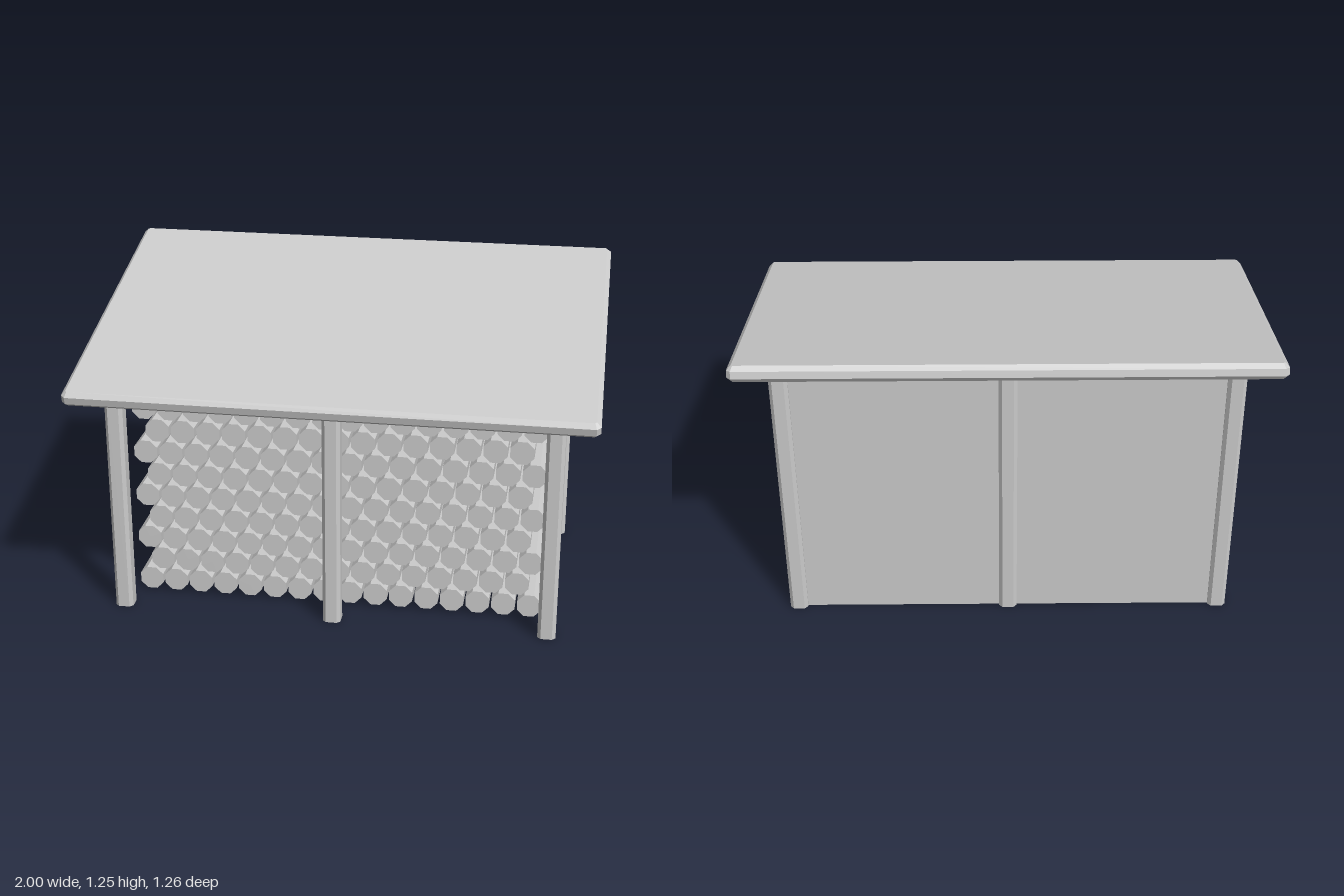
import * as THREE from 'three';

const material = new THREE.MeshStandardMaterial({ color: 0xcccccc, flatShading: true });
const SLOPE = Math.atan(0.24);
const ROOF_Y = 1.073; // roof mid-plane height at z = 0
const roofAt = (z) => ROOF_Y - 0.24 * z;

// Rectangle with cut corners
function chamferedRect(w, d, c) {
  const x = w / 2, y = d / 2;
  return new THREE.Shape([
    [x - c, -y], [x, -y + c], [x, y - c], [x - c, y],
    [-x + c, y], [-x, y - c], [-x, -y + c], [-x + c, -y],
  ].map(([a, b]) => new THREE.Vector2(a, b)));
}

function addMesh(parent, name, geometry, x = 0, y = 0, z = 0) {
  const mesh = new THREE.Mesh(geometry, material);
  mesh.name = name;
  mesh.position.set(x, y, z);
  parent.add(mesh);
  return mesh;
}

export function createModel() {
  const model = new THREE.Group();
  model.name = 'firewoodShelter';

  // Sloping roof slab with bevelled edges
  const t = 0.062, c = 0.017;
  const slab = new THREE.ExtrudeGeometry(chamferedRect(2 - 2 * c, 1.284 - 2 * c, 0.006), {
    depth: t - 2 * c, bevelEnabled: true, bevelThickness: c, bevelSize: c, bevelSegments: 1,
  });
  slab.translate(0, 0, -t / 2 + c).rotateX(-Math.PI / 2);
  addMesh(model, 'roof', slab, 0, ROOF_Y, 0).rotation.x = SLOPE;

  // Three posts at the front and three taller ones at the back
  for (const [name, z] of [['frontPost', 0.465], ['backPost', -0.465]]) {
    const post = new THREE.ExtrudeGeometry(chamferedRect(0.07, 0.07, 0.013), {
      depth: roofAt(z), bevelEnabled: false,
    }).rotateX(-Math.PI / 2);
    for (const x of [-0.84, 0, 0.84]) addMesh(model, name, post, x, 0, z);
  }

  // Back wall panels between the posts
  const panelHeight = roofAt(-0.465);
  const panel = new THREE.BoxGeometry(0.8, panelHeight, 0.03);
  for (const x of [-0.42, 0.42]) addMesh(model, 'backPanel', panel, x, panelHeight / 2, -0.465);

  // Staggered rows of eight-sided logs, flat side down
  const logs = new THREE.Group();
  logs.name = 'logStack';
  const apothem = 0.0462, pitch = 0.1017;
  const log = new THREE.CylinderGeometry(apothem / Math.cos(Math.PI / 8), apothem / Math.cos(Math.PI / 8), 0.74, 8);
  log.rotateY(Math.PI / 8).rotateX(Math.PI / 2);
  for (let row = 0; row < 9; row++) {
    const count = row % 2 ? 15 : 16;
    for (let i = 0; i < count; i++) {
      addMesh(logs, 'log', log, (i - (count - 1) / 2) * pitch, 0.058 + row * 0.0929, -0.02);
    }
  }
  model.add(logs);
  return model;
}
